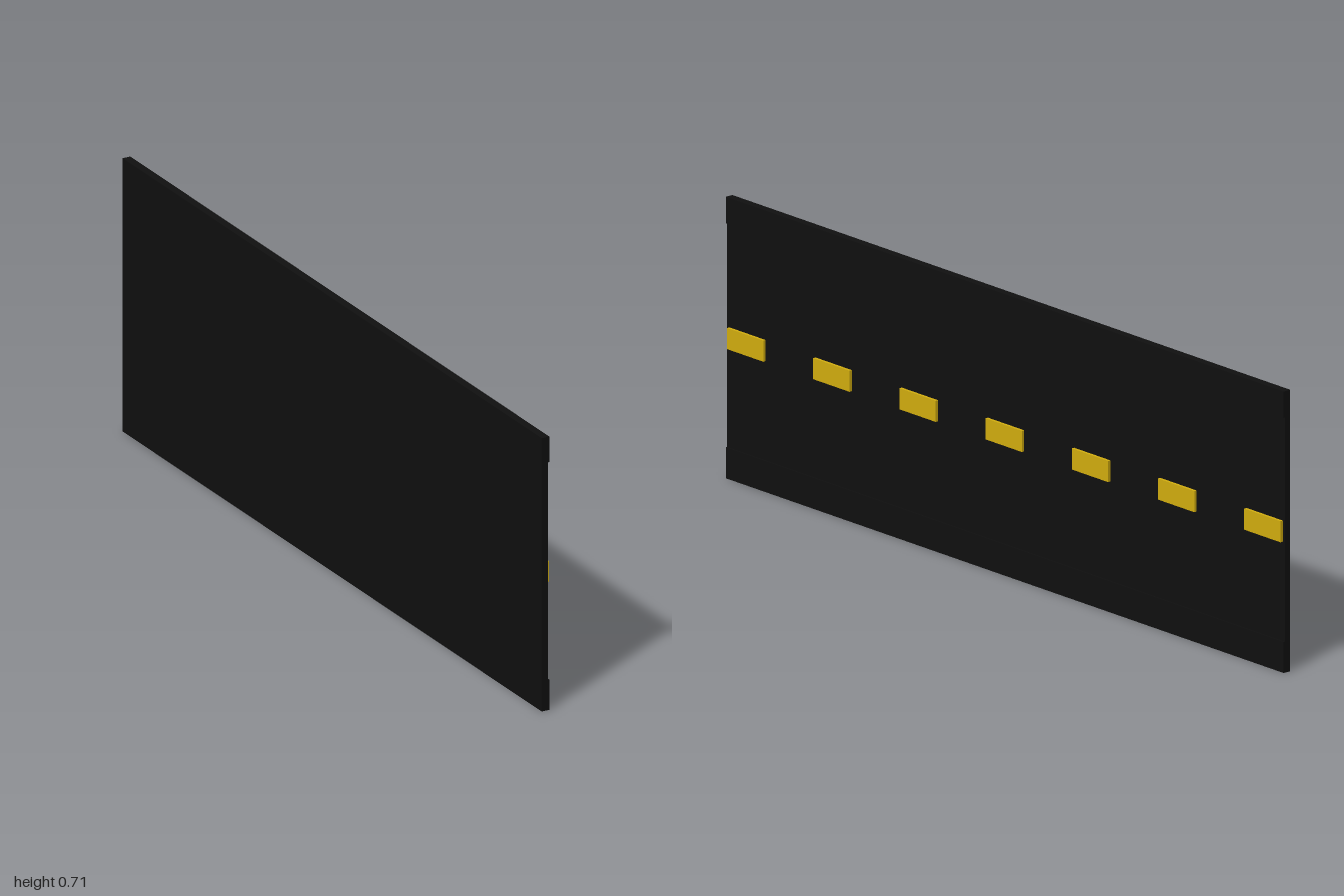
import * as THREE from 'three';

export function createModel() {
  const group = new THREE.Group();
  const asphalt = new THREE.MeshStandardMaterial({ color: 0x101010 });
  const yellow = new THREE.MeshStandardMaterial({ color: 0xd4af0f });

  // Box given by its limits along each axis
  function addBox(name, material, [x0, x1], [y0, y1], [z0, z1]) {
    const mesh = new THREE.Mesh(new THREE.BoxGeometry(x1 - x0, y1 - y0, z1 - z0), material);
    mesh.position.set((x0 + x1) / 2, (y0 + y1) / 2, (z0 + z1) / 2);
    mesh.name = name;
    group.add(mesh);
  }

  // Road slab standing on its long edge, with a raised kerb along each side
  const back = -0.0125;
  addBox('roadSlab', asphalt, [back, 0.005], [0.078, 0.64], [-1, 1]);
  addBox('lowerKerb', asphalt, [back, 0.0085], [0, 0.078], [-1, 1]);
  addBox('upperKerb', asphalt, [back, 0.0085], [0.64, 0.706], [-1, 1]);

  // Dashed centre line
  for (let i = 0; i < 7; i++) {
    const z = 0.926 - i * 0.309;
    addBox('centreDash' + (i + 1), yellow, [0.003, 0.0125], [0.327, 0.38], [z - 0.065, z + 0.065]);
  }
  return group;
}
